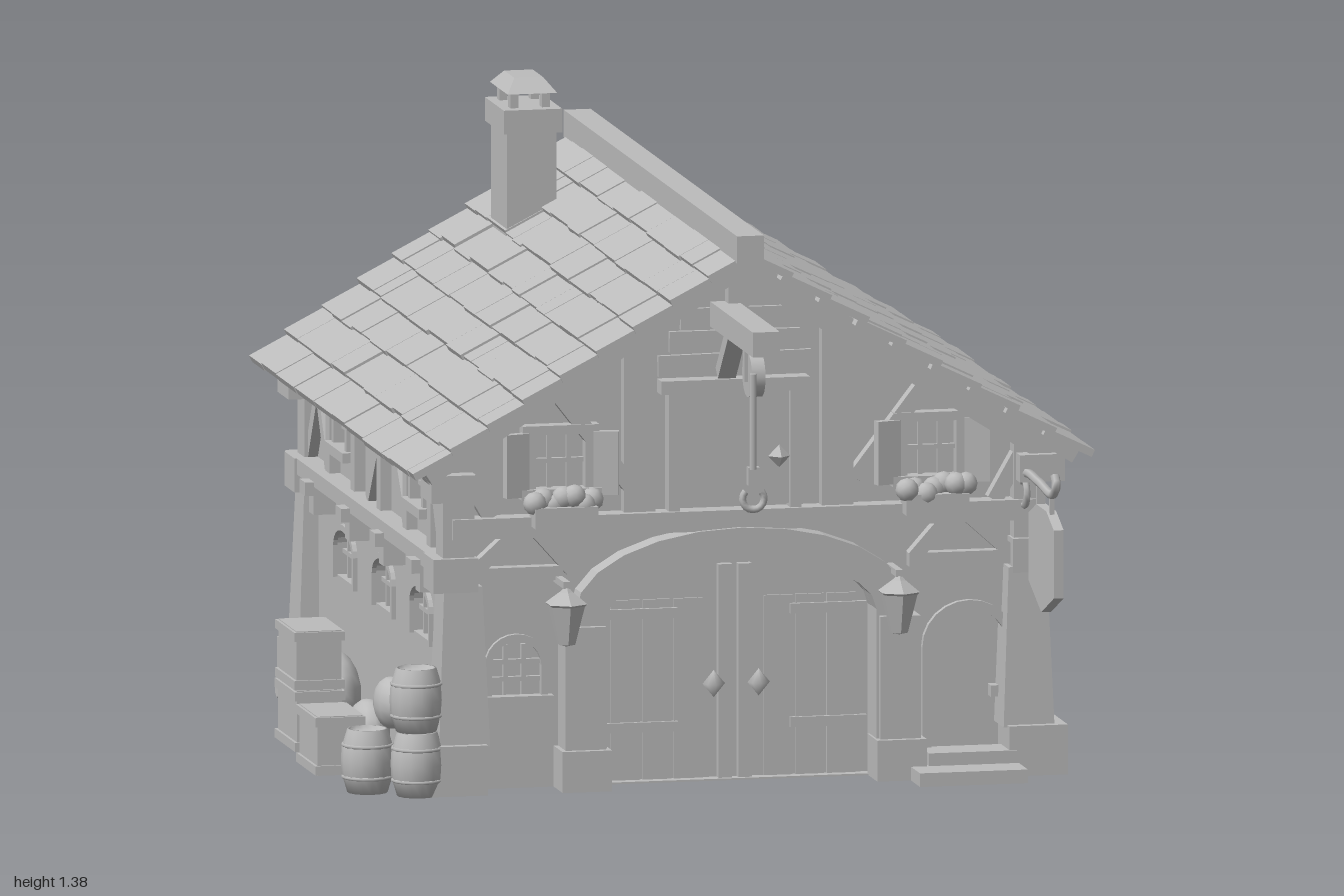
import * as THREE from 'three';

const stone = new THREE.MeshStandardMaterial({ color: 0xbcbcbc });
stone.name = 'plain grey';

let seed = 7;
const rnd = () => (seed = (seed * 16807) % 2147483647) / 2147483647;
const jit = (a) => (rnd() - 0.5) * 2 * a;

function add(g, name, geo, x = 0, y = 0, z = 0, rz = 0) {
  const m = new THREE.Mesh(geo, stone);
  m.name = name;
  m.position.set(x, y, z);
  m.rotation.z = rz;
  g.add(m);
  return m;
}
const box = (g, name, w, h, d, x, y, z, rz = 0) => add(g, name, new THREE.BoxGeometry(w, h, d), x, y, z, rz);

// straight timber between two points of a facade plane
function beam(g, name, x1, y1, x2, y2, w, d = 0.03, z = d / 2) {
  const len = Math.hypot(x2 - x1, y2 - y1);
  return box(g, name, w, len, d, (x1 + x2) / 2, (y1 + y2) / 2, z, Math.atan2(x1 - x2, y2 - y1));
}

function faceted(geo) {
  const f = geo.toNonIndexed();
  f.computeVertexNormals();
  return f;
}

// arch outline: right foot, curve, left foot
function archPts(x, y0, w, h, rise, n = 12) {
  const p = [new THREE.Vector2(x + w / 2, y0)];
  for (let i = 0; i <= n; i++) {
    const a = (Math.PI * i) / n;
    p.push(new THREE.Vector2(x + (w / 2) * Math.cos(a), y0 + h - rise + rise * Math.sin(a)));
  }
  p.push(new THREE.Vector2(x - w / 2, y0));
  return p;
}
const extrude = (shape, depth) => new THREE.ExtrudeGeometry(shape, { depth, bevelEnabled: false });
const poly = (pts) => new THREE.Shape(pts.map(([x, y]) => new THREE.Vector2(x, y)));
const archRing = (x, y, w, h, r, t) =>
  new THREE.Shape([...archPts(x, y, w + 2 * t, h + t, r + t * 0.8), ...archPts(x, y, w, h, r).reverse()]);

// a facade is built facing +z and then turned into place
function facade(root, name, x, z, ry) {
  const g = new THREE.Group();
  g.name = name;
  g.position.set(x, 0, z);
  g.rotation.y = ry;
  root.add(g);
  return g;
}

function windowBars(g, x, y, w, h, z, nx = 3, ny = 2) {
  for (let i = 1; i < nx; i++) box(g, 'windowBar', 0.01, h, 0.012, x - w / 2 + (w * i) / nx, y + h / 2, z);
  for (let i = 1; i < ny; i++) box(g, 'windowBar', w, 0.01, 0.012, x, y + (h * i) / ny, z);
}

function squareWindow(g, x, y, w, h) {
  box(g, 'windowSill', w + 0.05, 0.022, 0.045, x, y, 0.02);
  box(g, 'windowLintel', w + 0.04, 0.02, 0.035, x, y + h, 0.017);
  for (const s of [-1, 1]) box(g, 'windowJamb', 0.02, h, 0.03, x + s * w / 2, y + h / 2, 0.015);
  windowBars(g, x, y, w, h, 0.006);
}

function lathe(g, name, pts, n, x, y, z) {
  return add(g, name, new THREE.LatheGeometry(pts.map(([r, h]) => new THREE.Vector2(r, h)), n), x, y, z);
}

function gableTimber(g, mid, wx, h) {
  box(g, 'floorBeam', 1.3, 0.045, 0.05, mid, h, 0.025);
  for (const s of [-1, 1]) {
    box(g, 'gablePost', 0.07, 0.42, 0.03, mid - 0.01 + s * 0.22, h + 0.2, 0.015);
    beam(g, 'gableBrace', mid + s * 0.25, h + 0.08, mid + s * 0.42, h + 0.3, 0.035);
    beam(g, 'gableBrace', mid + s * 0.64, h + 0.16, mid + s * 0.56, h + 0.02, 0.035);
    beam(g, 'bargeBeam', mid - 0.015 + s * 0.7, 0.7, mid - 0.015, 1.14, 0.05, 0.06);
    squareWindow(g, wx(s), h + 0.07, 0.13, 0.14);
  }
}

function roofTiles(root) {
  const ridge = [0.045, 1.185], rows = 9;
  for (const s of [-1, 1]) {
    const ex = s > 0 ? 0.81 : -0.685, dx = ex - ridge[0], dy = 0.715 - ridge[1];
    const len = Math.hypot(dx, dy), ang = Math.atan2(dy, Math.abs(dx)) * s;
    const nx = (-dy / len) * s, ny = Math.abs(dx) / len;
    const at = (t, off) => [ridge[0] + dx * t + nx * off, ridge[1] + dy * t + ny * off];
    const [bx, by] = at(0.49, -0.025);
    box(root, 'roofDeck', len * 0.98, 0.03, 1.6, bx, by, -0.13, ang);
    for (let r = 0; r < rows; r++) {
      const t = (r + 0.5) / rows, z0 = -0.985 + 0.035 * t, z1 = 0.715 - 0.025 * t;
      let z = z0;
      while (z < z1 - 0.01) {
        let w = 0.07 + rnd() * 0.13;
        if (z + w > z1 - 0.05) w = z1 - z;
        const [x, y] = at(t + jit(0.004), -0.004 + jit(0.003));
        box(root, 'roofShingle', (len / rows) * 1.2, 0.017, w - 0.002, x, y, z + w / 2, ang + s * 0.1);
        z += w;
      }
    }
  }
  box(root, 'ridgeBeam', 0.06, 0.06, 1.73, 0.045, 1.195, -0.135);
}

function buildFront(root) {
  const g = facade(root, 'frontFacade', 0, 0.56, 0);
  const wall = poly([[-0.58, 0], [0.7, 0], [0.7, 0.735], [0.045, 1.15], [-0.58, 0.735]]);
  wall.holes.push(
    new THREE.Path(archPts(0.05, 0.004, 0.6, 0.49, 0.12)),
    new THREE.Path(archPts(0.567, 0.05, 0.18, 0.315, 0.09)),
    new THREE.Path(archPts(-0.44, 0.2, 0.12, 0.13, 0.06)));
  add(g, 'frontWall', extrude(wall, 0.03), 0, 0, -0.03);
  gableTimber(g, 0.06, (s) => 0.067 + s * 0.413, 0.58);

  // great arched doorway
  add(g, 'stoneArch', extrude(archRing(0.05, 0, 0.6, 0.495, 0.12, 0.07), 0.06));
  for (const s of [-1, 1]) {
    const x = 0.05 + s * 0.35;
    box(g, 'archPillar', 0.09, 0.36, 0.08, x, 0.18, 0.035);
    box(g, 'pillarBase', 0.11, 0.09, 0.1, x, 0.045, 0.04);
    box(g, 'doorLeafEdge', 0.03, 0.47, 0.02, 0.05 + s * 0.022, 0.24, -0.015);
    for (const y of [0.12, 0.37]) box(g, 'doorHinge', 0.17, 0.022, 0.012, 0.05 + s * 0.21, y, -0.022);
    lathe(g, 'doorKnob', [[0, -0.03], [0.025, 0], [0, 0.03]], 8, 0.05 + s * 0.05, 0.215, 0.005);
    for (const k of [0.1, 0.17, 0.24]) box(g, 'doorPlank', 0.064, 0.4, 0.006, 0.05 + s * k, 0.2, -0.027);
    box(g, 'middleRail', s < 0 ? 0.22 : 0.28, 0.03, 0.03, s < 0 ? -0.45 : 0.57, 0.475, 0.015);
    beam(g, 'cornerBrace', 0.06 + s * 0.6, 0.48, 0.06 + s * 0.5, 0.57, 0.03);
    beam(g, 'cornerBrace', 0.06 + s * 0.38, 0.48, 0.06 + s * 0.46, 0.57, 0.03);
  }

  // side door, steps and arched window
  add(g, 'smallDoorFrame', extrude(archRing(0.567, 0.05, 0.17, 0.31, 0.085, 0.02), 0.015));
  box(g, 'smallDoorKnob', 0.025, 0.025, 0.03, 0.63, 0.175, -0.015);
  box(g, 'doorStep', 0.24, 0.03, 0.18, 0.54, 0.015, 0.09);
  box(g, 'doorStep', 0.2, 0.028, 0.09, 0.56, 0.044, 0.045);
  add(g, 'archWindowFrame', extrude(archRing(-0.44, 0.2, 0.11, 0.125, 0.055, 0.015), 0.012));
  windowBars(g, -0.44, 0.2, 0.12, 0.115, -0.015, 3, 3);
  box(g, 'windowSill', 0.16, 0.02, 0.03, -0.44, 0.195, 0.01);

  // loft hatch and boarding above it
  box(g, 'loftDoor', 0.26, 0.25, 0.025, 0.04, 0.735, 0.012);
  for (const s of [-1, 1]) box(g, 'loftDoorPost', 0.025, 0.28, 0.04, 0.04 + s * 0.135, 0.74, 0.02);
  box(g, 'loftLintel', 0.33, 0.03, 0.045, 0.04, 0.875, 0.022);
  add(g, 'loftLatch', new THREE.OctahedronGeometry(0.025), 0.14, 0.715, 0.03);
  for (let i = 0; i < 4; i++) box(g, 'gableBoard', 0.34 - i * 0.05, 0.046, 0.012, 0.045, 0.92 + i * 0.05, 0.008, jit(0.03));
  box(g, 'kingPost', 0.045, 0.18, 0.05, 0.045, 1.07, 0.025);

  // shutters, flower boxes and lanterns
  for (const s of [-1, 1]) {
    const x = 0.067 + s * 0.413;
    for (const k of [-1, 1]) box(g, 'shutter', 0.055, 0.14, 0.02, x + k * 0.1, 0.715, 0.035).rotation.y = k * -0.25;
    box(g, 'flowerBox', 0.14, 0.045, 0.06, x, 0.605, 0.06);
    for (let i = 0; i < 7; i++)
      add(g, 'flowers', new THREE.IcosahedronGeometry(0.026, 1), x - 0.066 + i * 0.022, 0.637 + jit(0.012), 0.065 + jit(0.02));
    const lx = 0.02 + s * 0.37;
    const body = [[0, -0.06], [0.02, -0.055], [0.042, 0.03], [0.048, 0.035], [0.015, 0.06], [0, 0.075]];
    add(g, 'lantern', faceted(new THREE.LatheGeometry(body.map(([r, y]) => new THREE.Vector2(r, y)), 6)), lx, 0.385, 0.105);
    box(g, 'lanternArm', 0.015, 0.015, 0.1, lx, 0.46, 0.06);
  }

  // hoist beam, pulley, rope and hook
  box(g, 'hoistBeam', 0.06, 0.055, 0.45, 0.02, 1.03, 0.215);
  const strut = box(g, 'hoistStrut', 0.04, 0.03, 0.16, 0.02, 0.96, 0.09);
  strut.rotation.x = -0.8;
  add(g, 'pulley', new THREE.CylinderGeometry(0.05, 0.05, 0.03, 16), 0.02, 0.945, 0.315, Math.PI / 2);
  box(g, 'pulleyStrap', 0.045, 0.09, 0.018, 0.02, 0.975, 0.315);
  add(g, 'rope', new THREE.CylinderGeometry(0.008, 0.008, 0.21, 6), 0.005, 0.85, 0.372);
  add(g, 'rope', new THREE.CylinderGeometry(0.007, 0.007, 0.24, 6), 0.02, 0.83, 0.31);
  add(g, 'hook', new THREE.TorusGeometry(0.024, 0.008, 6, 12, 4.6), 0.02, 0.67, 0.31, 2.4);
  box(g, 'hookBlock', 0.025, 0.04, 0.02, 0.02, 0.72, 0.31);

  // hanging sign on a scrolled bracket
  const arm = new THREE.CatmullRomCurve3([[0, 0.6, 0], [0, 0.66, 0.06], [0, 0.665, 0.2], [0, 0.66, 0.34],
    [0, 0.685, 0.375], [0, 0.705, 0.36]].map((p) => new THREE.Vector3(...p)));
  add(g, 'signBracket', new THREE.TubeGeometry(arm, 24, 0.01, 6), 0.68);
  add(g, 'bracketScroll', new THREE.TorusGeometry(0.03, 0.008, 6, 14), 0.68, 0.62, 0.05).rotation.y = Math.PI / 2;
  const sign = poly([[-0.125, 0.59], [-0.05, 0.62], [0.05, 0.62], [0.125, 0.59], [0.125, 0.44], [0, 0.39], [-0.125, 0.44]]);
  add(g, 'hangingSign', extrude(sign, 0.022), 0.67, 0, 0.268).rotation.y = Math.PI / 2;
  for (const z of [0.2, 0.33]) box(g, 'signHanger', 0.01, 0.05, 0.01, 0.68, 0.64, z);
}

function buildBack(root) {
  const g = facade(root, 'backFacade', 0, -0.855, Math.PI);
  gableTimber(g, -0.06, (s) => -0.067 + s * 0.4, 0.52);
  box(g, 'sillRail', 1.3, 0.03, 0.035, -0.06, 0.485, 0.01);
  box(g, 'centrePanel', 0.2, 0.4, 0.02, -0.05, 0.75, 0.01);
  add(g, 'gablePlaque', extrude(new THREE.Shape(archPts(-0.05, 0.9, 0.13, 0.15, 0.05)), 0.05));
  for (let i = 0; i < 30; i++)
    box(g, 'wallStone', 0.05 + rnd() * 0.06, 0.018 + rnd() * 0.015, 0.008, -0.06 + jit(0.55), 0.24 + jit(0.2), 0.002, jit(0.08));
  box(g, 'footStone', 0.13, 0.06, 0.05, 0.2, 0.03, 0.01);
}

// s maps local x to world z
function buildSide(root, name, x, s) {
  const g = facade(root, name, x, 0, -s * Math.PI / 2);
  const a = Math.min(-0.855 * s, 0.53 * s), b = Math.max(-0.855 * s, 0.53 * s);
  const wall = poly([[a, 0], [b, 0], [b, 0.735], [a, 0.735]]);
  const zs = [0.265, -0.11, -0.495];
  for (const z of zs) wall.holes.push(new THREE.Path(archPts(s * z, 0.29, 0.19, 0.115, 0.045)));
  add(g, 'sideWall', extrude(wall, 0.03), 0, 0, -0.03);
  for (const z of zs) {
    add(g, 'archWindowFrame', extrude(archRing(s * z, 0.285, 0.185, 0.115, 0.045, 0.014), 0.01));
    windowBars(g, s * z, 0.29, 0.19, 0.105, -0.018, 4, 2);
  }
  const mid = (a + b) / 2;
  box(g, 'floorBeam', 1.45, 0.035, 0.05, mid, 0.5, 0.025);
  box(g, 'wallPlate', 1.45, 0.035, 0.04, mid, 0.69, 0.02);
  for (const z of [0.435, 0.07, -0.265, -0.625]) {
    box(g, 'corbel', 0.045, 0.07, 0.05, s * z, 0.455, 0.025);
    box(g, 'corbelBlock', 0.055, 0.03, 0.07, s * z, 0.478, 0.035);
  }
  for (const z of [0.55, 0.43, 0.19, -0.07, -0.33, -0.58, -0.82]) box(g, 'sidePost', 0.04, 0.18, 0.025, s * z, 0.6, 0.012);
  for (const [p, q] of [[0.53, 0.44], [0.18, 0.05], [-0.2, -0.08], [-0.6, -0.7], [-0.8, -0.7]])
    beam(g, 'sideBrace', s * p, 0.52, s * q, 0.68, 0.03, 0.022);
  for (const z of [0.325, -0.44]) squareWindow(g, s * z, 0.585, 0.13, 0.095);
}

function buildCorners(root) {
  for (const [x, sx] of [[-0.565, -1], [0.685, 1]]) for (const [z, sz] of [[0.565, 1], [-0.82, -1]]) {
    const c = new THREE.Group();
    c.name = 'cornerPillar';
    c.position.set(x, 0, z);
    root.add(c);
    const e = sz > 0 ? 1 : 0.5;
    box(c, 'cornerStoneFoot', 0.13, 0.11, 0.08 + 0.08 * e, sx * 0.02, 0.055, 0);
    add(c, 'cornerStone', faceted(new THREE.CylinderGeometry(0.06, 0.08, 0.35, 4, 1).rotateY(Math.PI / 4)), sx * 0.003, 0.28, sz * 0.005);
    box(c, 'cornerCorbel', 0.1, 0.075, 0.1, sx * 0.02, 0.48, 0);
    box(c, 'cornerPost', 0.07, 0.24, 0.07, sx * 0.01, 0.62, 0);
    box(c, 'eaveBracket', 0.1, 0.06, 0.11, sx * 0.03, 0.675, sz * 0.02);
  }
}

function buildChimney(root) {
  const g = facade(root, 'chimney', -0.15, -0.66, 0);
  box(g, 'chimneyShaft', 0.11, 0.4, 0.16, 0, 1.06, 0);
  box(g, 'chimneyCollar', 0.13, 0.052, 0.19, 0, 1.275, 0);
  for (const x of [-0.035, 0.035]) for (const z of [-0.055, 0.055]) box(g, 'capPost', 0.018, 0.04, 0.025, x, 1.318, z);
  const cap = faceted(new THREE.CylinderGeometry(0.045, 0.078, 0.03, 4).rotateY(Math.PI / 4).scale(1, 1, 1.6));
  add(g, 'chimneyCap', cap, 0, 1.35, 0);
}

function buildGoods(root) {
  const g = facade(root, 'yardGoods', 0, 0, 0);
  const barrel = [[0, 0], [0.044, 0], [0.056, 0.04], [0.058, 0.07], [0.056, 0.1], [0.044, 0.14], [0.04, 0.14], [0.038, 0.13], [0, 0.13]];
  for (const [x, y, z] of [[-0.67, 0, 0.61], [-0.67, 0.14, 0.6], [-0.765, 0, 0.54]]) {
    lathe(g, 'barrel', barrel, 14, x, y, z);
    for (const h of [0.035, 0.105]) add(g, 'barrelHoop', new THREE.TorusGeometry(0.054, 0.004, 5, 16), x, y + h, z).rotation.x = Math.PI / 2;
  }
  for (const [x, y, z, w, h, d] of [[-0.75, 0, -0.1, 0.1, 0.135, 0.19], [-0.75, 0.135, -0.1, 0.1, 0.13, 0.18], [-0.775, 0, 0.22, 0.1, 0.13, 0.18]]) {
    box(g, 'crate', w, h, d, x, y + h / 2, z);
    for (const k of [0.012, h - 0.012]) box(g, 'crateSlat', w + 0.012, 0.02, d + 0.012, x, y + k, z);
  }
  for (const [x, y, z, r] of [[-0.65, 0.08, -0.33, 0.095], [-0.66, 0.06, 0.08, 0.07], [-0.64, 0.14, 0.22, 0.06]])
    add(g, 'sack', new THREE.SphereGeometry(r, 12, 9).scale(0.65, 0.95, 1.15), x, y, z);
  for (let i = 0; i < 6; i++)
    add(g, 'firewood', new THREE.CylinderGeometry(0.022, 0.022, 0.09, 8), -0.64, 0.022 + (i % 2) * 0.04, -0.72 + i * 0.042, Math.PI / 2 + jit(0.2));
}

export function createModel() {
  const root = new THREE.Group();
  root.name = 'timberBarn';
  const core = poly([[-0.55, 0], [0.67, 0], [0.67, 0.735], [0.69, 0.73], [0.045, 1.15], [-0.57, 0.73], [-0.55, 0.735]]);
  add(root, 'barnBody', extrude(core, 1.385), 0, 0, -0.855);
  roofTiles(root);
  buildFront(root);
  buildBack(root);
  buildSide(root, 'rightHandFacade', 0.7, -1);
  buildSide(root, 'leftHandFacade', -0.58, 1);
  buildCorners(root);
  buildChimney(root);
  buildGoods(root);
  return root;
}
